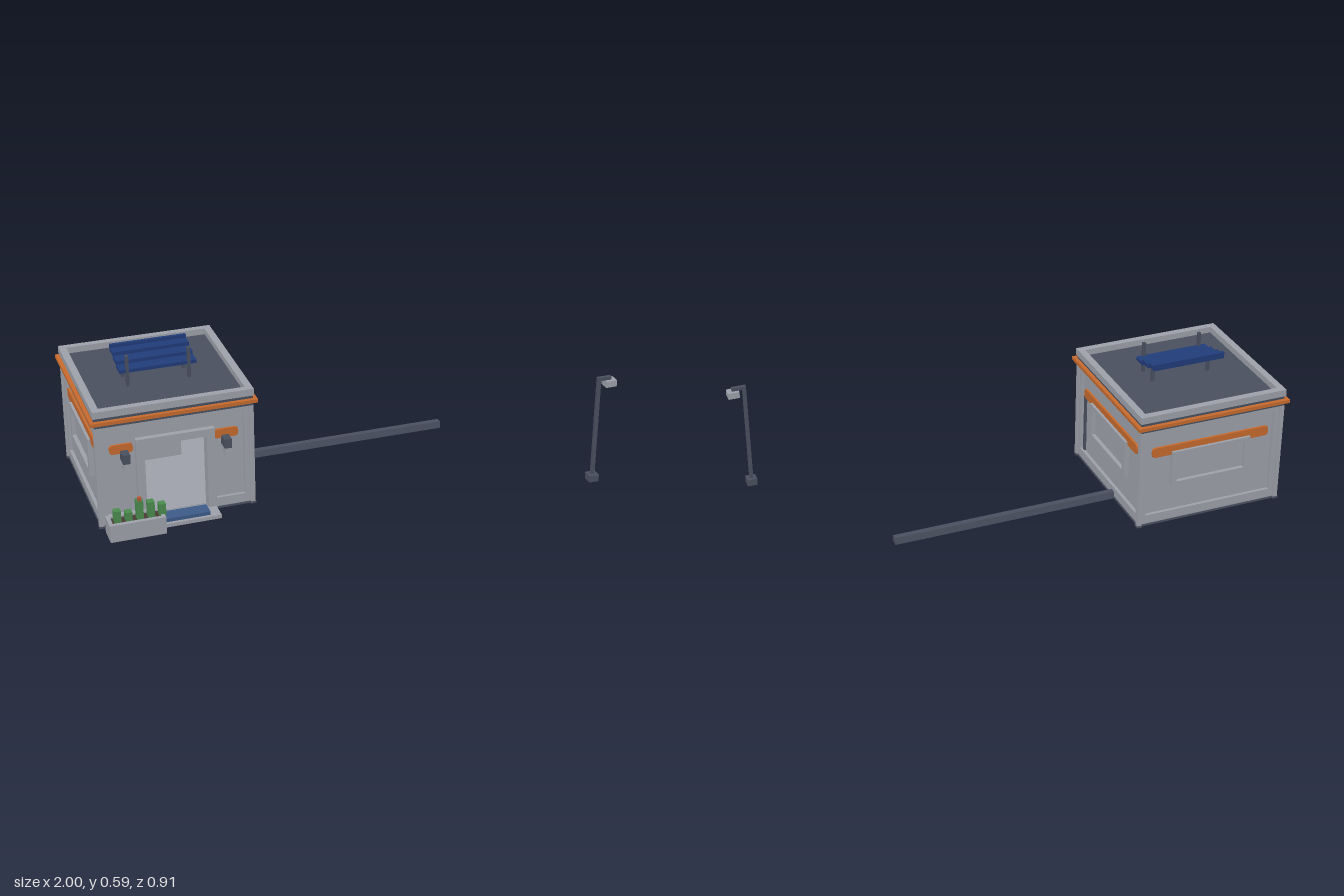
import * as THREE from 'three';

const mat = (name, color, side = THREE.FrontSide) => {
  const m = new THREE.MeshStandardMaterial({ color, side });
  m.name = name;
  return m;
};
const grey = mat('concrete grey', 0x9da1a9);
const dark = mat('slate', 0x4a5060);
const orange = mat('orange paint', 0xc66a2e);
const blue = mat('panel blue', 0x213c7a);
const matBlue = mat('doormat blue', 0x3c5a88);
const green = mat('cactus green', 0x4b8c4f);
const red = mat('flower red', 0xb8583c);
const brown = mat('soil brown', 0x4a3a34);

function add(parent, name, geometry, material) {
  const m = new THREE.Mesh(geometry, material);
  m.name = name;
  parent.add(m);
  return m;
}

// Box given by its limits on each axis
function box(parent, name, material, x0, x1, y0, y1, z0, z1) {
  const m = add(parent, name, new THREE.BoxGeometry(x1 - x0, y1 - y0, z1 - z0), material);
  m.position.set((x0 + x1) / 2, (y0 + y1) / 2, (z0 + z1) / 2);
  return m;
}

function rect(x0, x1, y0, y1, Type = THREE.Shape) {
  const s = new Type();
  s.moveTo(x0, y0); s.lineTo(x1, y0); s.lineTo(x1, y1); s.lineTo(x0, y1); s.closePath();
  return s;
}

// Rectangle with a rectangular opening, extruded along z
function ringGeo(outer, inner, depth) {
  const s = rect(...outer);
  s.holes.push(rect(...inner, THREE.Path));
  return new THREE.ExtrudeGeometry(s, { depth, bevelEnabled: false });
}

// Square ring lying flat around the house axis
function squareRing(parent, name, material, out, inn, y0, y1) {
  const g = ringGeo([-out, out, -out, out], [-inn, inn, -inn, inn], y1 - y0);
  g.rotateX(-Math.PI / 2);
  add(parent, name, g, material).position.y = y0;
}

// Painted stripe with rounded ends
function stripe(parent, x0, x1, y0, y1, z) {
  const r = 0.015, s = new THREE.Shape();
  s.moveTo(x0 + r, y0); s.lineTo(x1 - r, y0);
  s.quadraticCurveTo(x1, y0, x1, y0 + r); s.lineTo(x1, y1 - r);
  s.quadraticCurveTo(x1, y1, x1 - r, y1); s.lineTo(x0 + r, y1);
  s.quadraticCurveTo(x0, y1, x0, y1 - r); s.lineTo(x0, y0 + r);
  s.quadraticCurveTo(x0, y0, x0 + r, y0);
  const g = new THREE.ExtrudeGeometry(s, { depth: 0.009, bevelEnabled: false, curveSegments: 4 });
  add(parent, 'paintedStripe', g, orange).position.z = z;
}

// One side of the house, outward along local +z
function wall(name, hasDoor) {
  const g = new THREE.Group();
  g.name = name;
  const W = 0.285, z = 0.285;
  const panel = hasDoor
    ? ringGeo([-W, W, 0, 0.43], [-0.12, 0.12, 0.012, 0.32], 0.015)
    : new THREE.ExtrudeGeometry(rect(-W, W, 0, 0.43), { depth: 0.015, bevelEnabled: false });
  add(g, 'wallPanel', panel, grey).position.z = z - 0.015;
  for (const s of [-1, 1]) {
    const a = s < 0 ? -0.293 : 0.268;
    box(g, 'wallBorder', grey, a, a + 0.025, 0, 0.42, z - 0.005, 0.298);
  }
  box(g, 'wallBorderTop', grey, -0.268, 0.268, 0.4, 0.42, z - 0.005, 0.298);
  if (hasDoor) {
    box(g, 'wallSill', grey, -0.268, -0.15, 0, 0.045, z - 0.005, 0.298);
    box(g, 'wallSill', grey, 0.15, 0.268, 0, 0.045, z - 0.005, 0.298);
    add(g, 'doorFrame', ringGeo([-0.152, 0.152, 0, 0.35], [-0.12, 0.12, 0.012, 0.32], 0.045), grey)
      .position.z = 0.262;
    stripe(g, -0.25, -0.16, 0.298, 0.335, z);
    stripe(g, 0.152, 0.247, 0.298, 0.335, z);
    // Wall lamps beside the door
    for (const x of [-0.195, 0.195]) {
      box(g, 'wallLampHousing', dark, x - 0.014, x + 0.014, 0.272, 0.31, z, 0.337);
      box(g, 'wallLampLens', grey, x - 0.011, x + 0.011, 0.24, 0.272, z + 0.006, 0.334);
    }
  } else {
    box(g, 'wallSill', grey, -0.268, 0.268, 0, 0.045, z - 0.005, 0.298);
    stripe(g, -0.248, 0.248, 0.295, 0.336, z);
    add(g, 'windowFrame', ringGeo([-0.167, 0.167, 0.155, 0.31], [-0.145, 0.145, 0.176, 0.292], 0.02), grey)
      .position.z = z;
    box(g, 'windowPane', grey, -0.147, 0.147, 0.174, 0.294, z, z + 0.004);
  }
  return g;
}

function buildHouse() {
  const h = new THREE.Group();
  h.name = 'house';
  h.position.set(-0.68, 0, -0.1325);
  ['frontWall', 'rightWall', 'backWall', 'leftWall'].forEach((n, i) => {
    const w = wall(n, i === 0);
    w.rotation.y = i * Math.PI / 2;
    h.add(w);
    if (i === 1) box(w, 'drainPipe', dark, -0.252, -0.238, 0.05, 0.3, 0.285, 0.293);
  });
  // Corner posts
  for (const x of [-1, 1]) for (const z of [-1, 1]) {
    const px = x * 0.297, pz = z * 0.297;
    box(h, 'cornerPost', grey, px - 0.009, px + 0.009, 0.008, 0.42, pz - 0.009, pz + 0.009);
    box(h, 'postFoot', dark, px - 0.011, px + 0.011, 0, 0.008, pz - 0.011, pz + 0.011);
  }
  squareRing(h, 'baseTrim', dark, 0.301, 0.29, 0, 0.008);
  // Floor and baseboards
  box(h, 'floor', grey, -0.272, 0.272, 0.003, 0.015, -0.272, 0.272);
  box(h, 'baseboardBack', orange, -0.27, 0.27, 0.001, 0.03, -0.272, -0.258);
  box(h, 'baseboardRight', orange, 0.258, 0.272, 0.001, 0.03, -0.27, 0.27);
  box(h, 'baseboardLeft', orange, -0.272, -0.258, 0.004, 0.03, -0.27, 0.27);
  // Roof slab, trim and parapet
  box(h, 'roof', dark, -0.304, 0.304, 0.42, 0.465, -0.304, 0.304);
  squareRing(h, 'roofTrim', orange, 0.32, 0.3, 0.436, 0.45);
  squareRing(h, 'parapet', grey, 0.308, 0.28, 0.462, 0.49);
  // Desk inside
  box(h, 'desk', grey, -0.08, 0.13, 0.015, 0.125, -0.24, -0.14);
  box(h, 'deskTop', dark, -0.11, 0.14, 0.125, 0.145, -0.25, -0.12);
  box(h, 'console', dark, -0.1, 0.12, 0.145, 0.172, -0.24, -0.17);
  box(h, 'screen', dark, -0.04, 0.04, 0.172, 0.21, -0.23, -0.215);
  return h;
}

function buildSolar() {
  const g = new THREE.Group();
  g.name = 'solarArray';
  for (let i = 0; i < 3; i++) {
    const z = -0.052 - i * 0.054, y = 0.52 + i * 0.0135;
    box(g, 'solarPanel', blue, -0.83, -0.53, y, y + 0.0135, z - 0.054, z);
  }
  box(g, 'solarLip', blue, -0.83, -0.53, 0.555, 0.574, -0.216, -0.203);
  for (const x of [-0.8, -0.56]) {
    box(g, 'tallSupport', dark, x - 0.006, x + 0.006, 0.46, 0.59, -0.062, -0.049);
    box(g, 'shortSupport', dark, x - 0.006, x + 0.006, 0.46, 0.536, -0.147, -0.134);
  }
  return g;
}

function buildPlanter() {
  const g = new THREE.Group();
  g.name = 'planter';
  box(g, 'planterBase', grey, -0.97, -0.755, 0, 0.055, 0.203, 0.287);
  const rim = ringGeo([-0.97, -0.755, -0.287, -0.203], [-0.955, -0.77, -0.27, -0.22], 0.015);
  rim.rotateX(-Math.PI / 2);
  add(g, 'planterRim', rim, grey).position.y = 0.055;
  box(g, 'soil', brown, -0.955, -0.77, 0.055, 0.064, 0.22, 0.27);
  [0.112, 0.1, 0.141, 0.128, 0.112].forEach((top, i) => {
    const x = -0.933 + i * 0.043;
    box(g, 'cactus', green, x - 0.013, x + 0.013, 0.06, top, 0.232, 0.26);
    if (i === 2) box(g, 'flower', red, x - 0.007, x + 0.007, top, 0.155, 0.246, 0.26);
  });
  return g;
}

function buildStreetLamp() {
  const g = new THREE.Group();
  g.name = 'streetLamp';
  box(g, 'lampBase', dark, 0.912, 0.952, 0, 0.028, 0.415, 0.455);
  box(g, 'lampPole', dark, 0.925, 0.939, 0.028, 0.448, 0.428, 0.442);
  box(g, 'lampArm', dark, 0.939, 0.982, 0.434, 0.448, 0.428, 0.442);
  box(g, 'lampHead', grey, 0.955, 1.0, 0.408, 0.434, 0.415, 0.455);
  return g;
}

export function createModel() {
  const root = new THREE.Group();
  root.name = 'guardHouse';
  root.add(buildHouse(), buildSolar(), buildPlanter(), buildStreetLamp());
  // Door step and mat
  box(root, 'doorStep', grey, -0.775, -0.53, 0, 0.015, 0.165, 0.245);
  box(root, 'doorMat', matBlue, -0.755, -0.57, 0.015, 0.029, 0.172, 0.232);
  // Long tapered ground rail
  const s = new THREE.Shape();
  s.moveTo(-0.016, 0); s.lineTo(0.016, 0); s.lineTo(0.012, 0.028); s.lineTo(-0.012, 0.028); s.closePath();
  const rail = new THREE.ExtrudeGeometry(s, { depth: 0.92, bevelEnabled: false });
  rail.rotateY(Math.PI / 2);
  add(root, 'groundRail', rail, dark).position.set(-0.385, 0, -0.19);
  return root;
}
